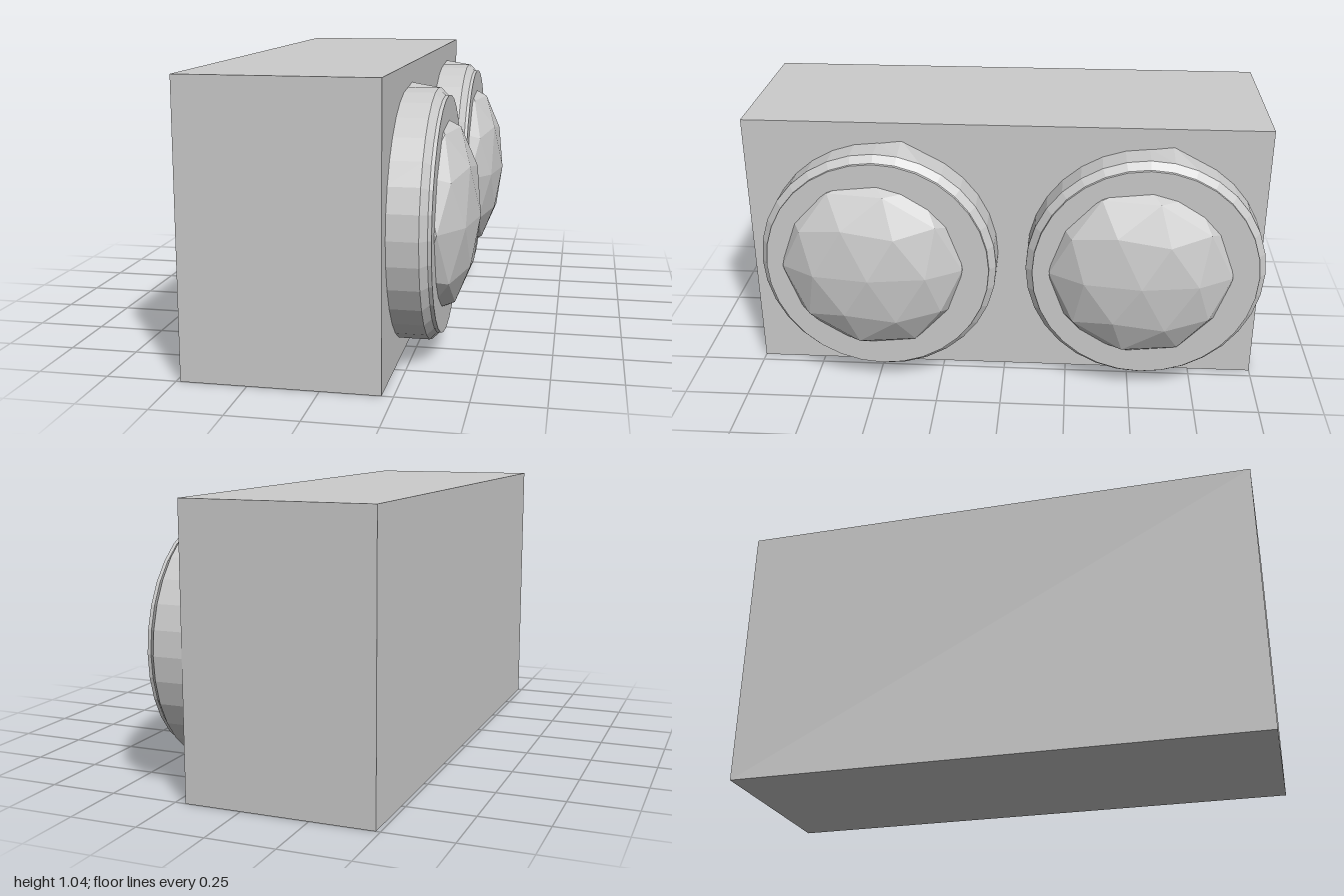
import * as THREE from 'three';

const material = new THREE.MeshStandardMaterial({ color: 0xcccccc, flatShading: true, side: THREE.DoubleSide });

function part(name, geometry, x, y, z) {
  const mesh = new THREE.Mesh(geometry, material);
  mesh.name = name;
  mesh.position.set(x, y, z);
  return mesh;
}

// Turned rim, stepped and chamfered, with its axis laid along +x
function rimGeometry() {
  const profile = [[0.456, 0.2], [0.456, 0.32], [0.43, 0.345], [0.43, 0.358], [0, 0.358]];
  const geometry = new THREE.LatheGeometry(profile.map(([r, h]) => new THREE.Vector2(r, h)), 32);
  geometry.rotateZ(-Math.PI / 2);
  // Slight lip where the rim meets the housing
  const p = geometry.attributes.position;
  for (let i = 0; i < p.count; i++) {
    if (p.getX(i) < 0.21 && p.getY(i) > 0.44 && p.getZ(i) < -0.05 && p.getZ(i) > -0.12) {
      p.setY(i, p.getY(i) + 0.02);
    }
  }
  return geometry;
}

// Faceted lens: a flattened icosphere with a corner pointing up
function lensGeometry() {
  const geometry = new THREE.IcosahedronGeometry(1, 1);
  geometry.rotateZ(-Math.atan(2 / (1 + Math.sqrt(5))));
  geometry.rotateY(Math.PI / 2);
  geometry.scale(0.165, 0.365, 0.365);
  return geometry;
}

export function createModel() {
  const model = new THREE.Group();
  model.name = 'twinLamp';

  model.add(part('housing', new THREE.BoxGeometry(0.695, 1.045, 2), -0.1375, 0.5225, 0));

  const rim = rimGeometry();
  const lens = lensGeometry();
  for (const [name, z] of [['frontLamp', 0.481], ['rearLamp', -0.544]]) {
    const lamp = new THREE.Group();
    lamp.name = name;
    lamp.position.z = z;
    lamp.add(part('rim', rim, 0, 0.507, 0), part('lens', lens, 0.315, 0.51, 0.018));
    model.add(lamp);
  }
  return model;
}
